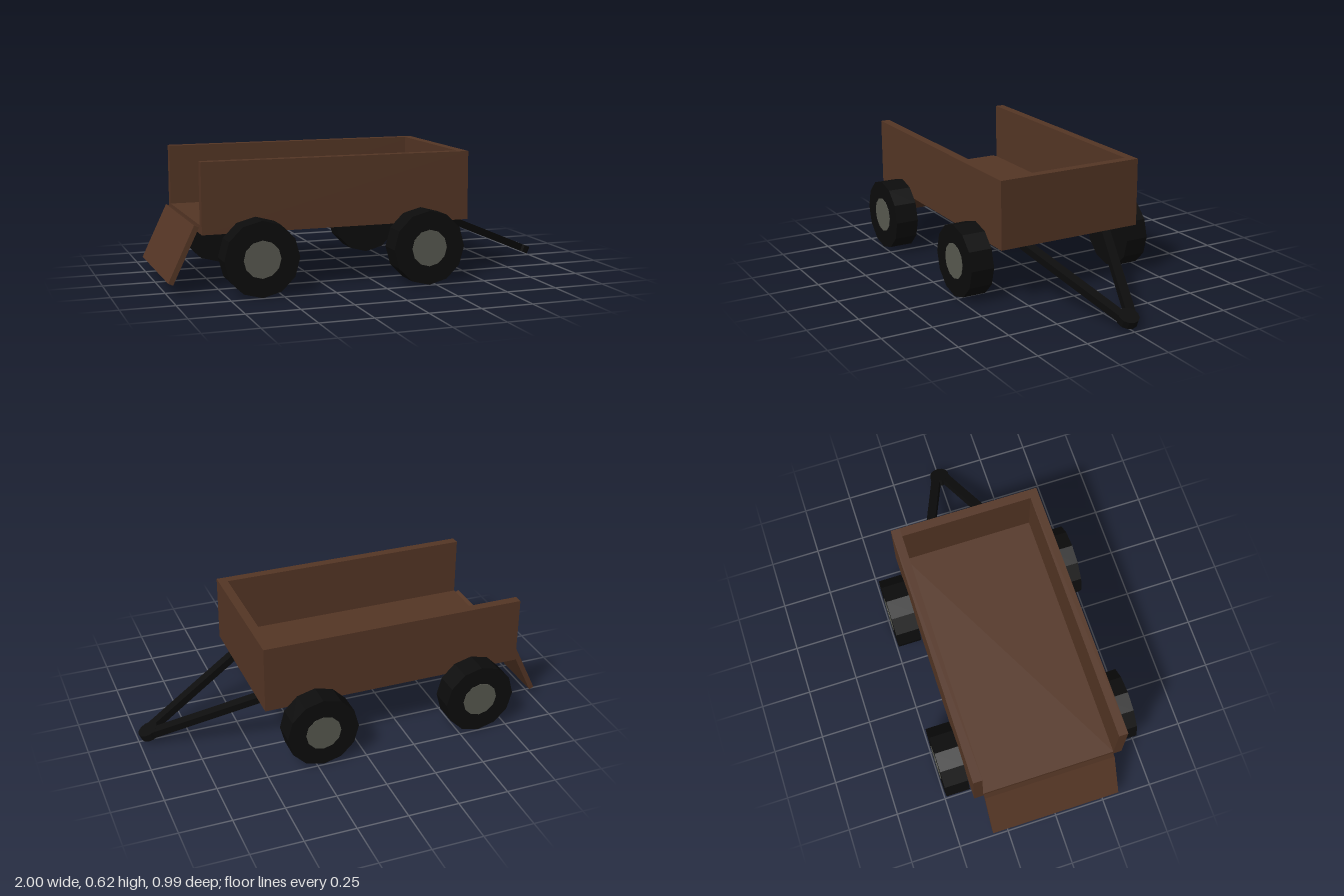
import * as THREE from 'three';

export function createModel() {
  const model = new THREE.Group();
  const mat = (name, color) => {
    const m = new THREE.MeshStandardMaterial({ color });
    m.name = name;
    m.flatShading = true;
    return m;
  };
  const wood = mat('brown wood', 0x553625);
  const black = mat('black rubber and iron', 0x0c0c0c);
  const grey = mat('grey hub', 0x585950);

  const add = (parent, name, geometry, material, x = 0, y = 0, z = 0) => {
    const mesh = new THREE.Mesh(geometry, material);
    mesh.name = name;
    mesh.position.set(x, y, z);
    parent.add(mesh);
    return mesh;
  };
  const box = (w, h, d) => new THREE.BoxGeometry(w, h, d);

  // Open wagon bed: floor, two sides and a front board
  const back = -0.85, front = 0.465, bottom = 0.284, top = 0.617;
  const half = 0.375, wall = 0.045, floorH = 0.04;
  const length = front - back, midX = (front + back) / 2;
  const wallH = top - bottom, midY = (top + bottom) / 2;
  const bed = new THREE.Group();
  bed.name = 'bed';
  model.add(bed);
  add(bed, 'floor', box(length - wall, floorH, 2 * (half - wall)), wood,
    midX - wall / 2, bottom + floorH / 2, 0);
  add(bed, 'frontBoard', box(wall, wallH, 2 * (half - wall)), wood, front - wall / 2, midY, 0);
  for (const s of [1, -1]) {
    add(bed, s > 0 ? 'frontSideBoard' : 'backSideBoard', box(length, wallH, wall), wood,
      midX, midY, s * (half - wall / 2));
  }

  // Tailgate, hanging open
  const tailgate = add(model, 'tailgate', box(0.025, 0.29, 0.655), wood, -0.926, 0.187, 0);
  tailgate.rotation.z = -0.445;

  // Wheels with hub plates on the outer faces
  const radius = 0.178, width = 0.118;
  const tyreGeo = new THREE.CylinderGeometry(radius, radius, width, 12).rotateX(Math.PI / 2);
  const hubGeo = new THREE.CylinderGeometry(0.088, 0.088, 0.004, 12).rotateX(Math.PI / 2);
  for (const x of [-0.6, 0.217]) {
    for (const s of [1, -1]) {
      const wheel = new THREE.Group();
      wheel.name = 'wheel';
      wheel.position.set(x, radius, s * (half + width / 2));
      add(wheel, 'tyre', tyreGeo, black);
      add(wheel, 'hub', hubGeo, grey, 0, 0, s * width / 2);
      model.add(wheel);
    }
  }

  // Sloping A-shaped drawbar, origin at the hitch
  const drawbar = new THREE.Group();
  drawbar.name = 'drawbar';
  drawbar.position.set(0.945, 0.046, 0);
  drawbar.rotation.z = -0.401;
  model.add(drawbar);
  add(drawbar, 'hitch', new THREE.CylinderGeometry(0.05, 0.05, 0.037, 12), black);
  const run = 0.655, z0 = 0.018, z1 = 0.25;
  for (const s of [1, -1]) {
    const arm = add(drawbar, 'drawbarArm', box(Math.hypot(run, z1 - z0), 0.036, 0.045), black,
      -run / 2, 0, s * (z0 + z1) / 2);
    arm.rotation.y = s * Math.atan2(z1 - z0, run);
  }
  return model;
}
